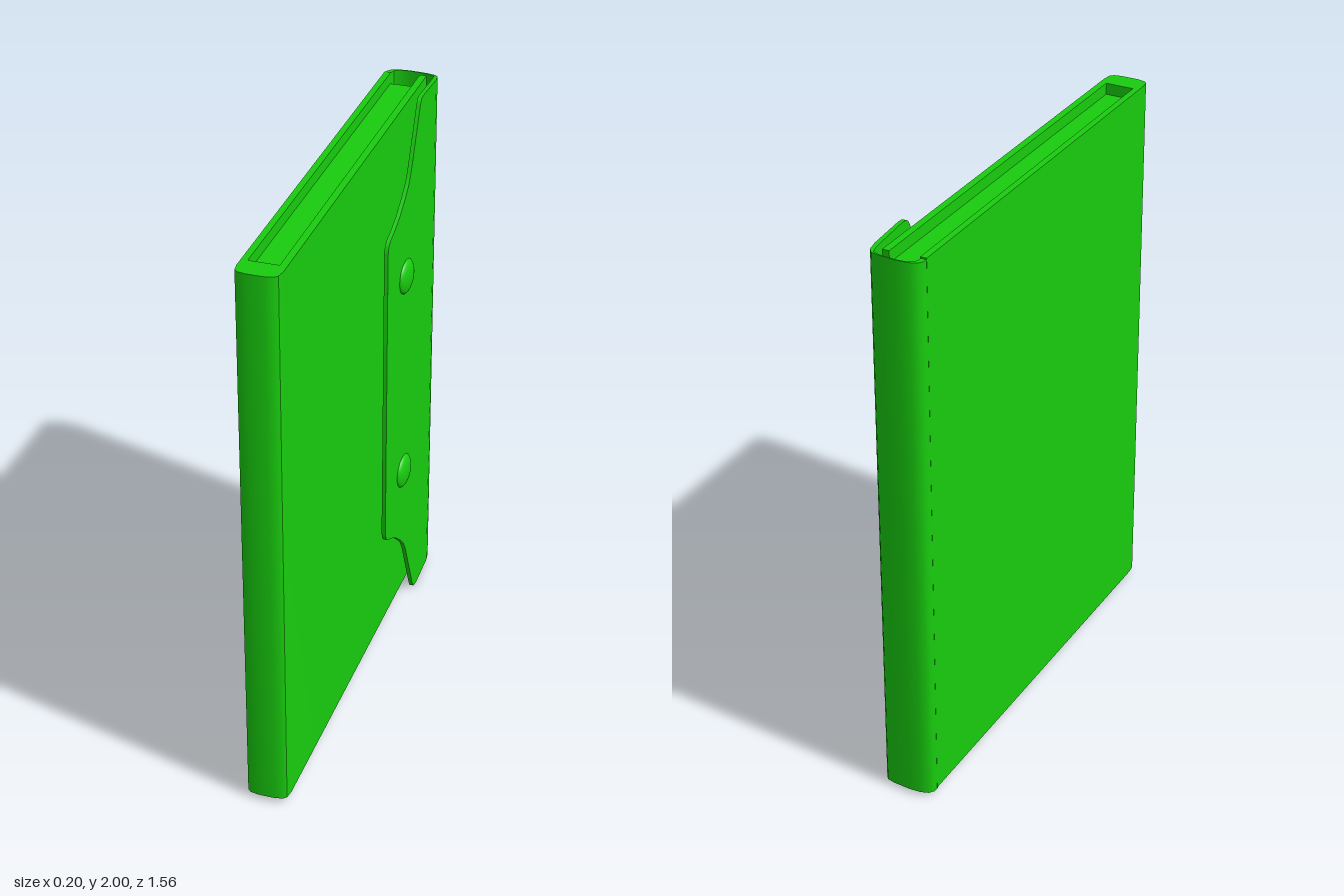
import * as THREE from 'three';
import { toCreasedNormals } from 'three/addons/utils/BufferGeometryUtils.js';

const green = new THREE.MeshStandardMaterial({ color: 0x18cc0e, side: THREE.DoubleSide });

function add(group, geometry, name) {
  const mesh = new THREE.Mesh(geometry, green);
  mesh.name = name;
  group.add(mesh);
  return mesh;
}

// Extrude an x-z outline upwards from y0 to y1
function upright(points, y0, y1) {
  const shape = new THREE.Shape(points.map(([x, z]) => new THREE.Vector2(x, -z)));
  const g = new THREE.ExtrudeGeometry(shape, { depth: y1 - y0, bevelEnabled: false });
  g.rotateX(-Math.PI / 2).translate(0, y0, 0);
  return toCreasedNormals(g, 0.6);
}

// Sweep a rectangular section through stations [outerX, outerZ, innerX, innerZ, top]
function sheet(stations) {
  const rings = stations.map(([xo, zo, xi, zi, top]) => [
    [xo, 2 - top, zo], [xo, top, zo], [xi, top, zi], [xi, 2 - top, zi],
  ]);
  const pos = [];
  const quad = (a, b, c, d) => pos.push(...a, ...b, ...c, ...a, ...c, ...d);
  for (let i = 0; i < rings.length - 1; i++) {
    for (let k = 0; k < 4; k++) {
      const n = (k + 1) % 4;
      quad(rings[i][k], rings[i][n], rings[i + 1][n], rings[i + 1][k]);
    }
  }
  const first = rings[0], last = rings[rings.length - 1];
  quad(first[3], first[2], first[1], first[0]);
  quad(...last);
  const g = new THREE.BufferGeometry();
  g.setAttribute('position', new THREE.Float32BufferAttribute(pos, 3));
  return toCreasedNormals(g, 0.7);
}

export function createModel() {
  const model = new THREE.Group();
  model.name = 'notebook';

  // Cover: two boards joined by a thick rounded spine
  add(model, upright([
    [-0.10, -0.735], [-0.10, 0.73], [-0.096, 0.76], [-0.085, 0.771], [-0.055, 0.777],
    [0, 0.777], [0.03, 0.771], [0.041, 0.76], [0.046, 0.73], [0.046, -0.745],
    [0.022, -0.745], [0.022, 0.695], [-0.078, 0.695], [-0.078, -0.735],
  ], 0.02, 1.99), 'cover');

  // Page block, set in a little from the cover's ends
  const pages = add(model, new THREE.BoxGeometry(0.1, 1.89, 1.425), 'pages');
  pages.position.set(-0.028, 1.005, -0.0175);

  // Flap: wraps the open edge, then tapers over the cover
  const wrap = [
    [-0.10, -0.73, -0.08, -0.73, 1.985], [-0.098, -0.752, -0.079, -0.745, 1.985],
    [-0.086, -0.768, -0.075, -0.762, 1.985], [-0.06, -0.777, -0.058, -0.772, 1.985],
    [-0.02, -0.78, -0.02, -0.776, 1.985], [0.04, -0.776, 0.04, -0.771, 1.985],
    [0.07, -0.769, 0.065, -0.762, 1.985], [0.082, -0.755, 0.069, -0.75, 1.987],
    [0.087, -0.72, 0.071, -0.72, 1.99],
  ];
  const outline = [
    [-0.58, 2], [-0.56, 1.999], [-0.548, 1.993], [-0.538, 1.975], [-0.455, 1.765],
    [-0.435, 1.73], [-0.40, 1.693], [-0.35, 1.65], [-0.30, 1.62], [-0.26, 1.602],
    [-0.245, 1.587], [-0.238, 1.56],
  ];
  const tongue = outline.map(([z, top]) => {
    const x = 0.088 - 0.018 * (z + 0.58) / 0.342;
    return [x, z, x - 0.014, z, top];
  });
  add(model, sheet([...wrap, ...tongue]), 'flap');

  // Domed snap buttons
  for (const [y, name] of [[1.39, 'upperButton'], [0.60, 'lowerButton']]) {
    const dome = new THREE.SphereGeometry(0.063, 32, 12, 0, Math.PI * 2, 0, Math.PI / 2);
    dome.scale(1, 0.36, 1).rotateZ(-Math.PI / 2);
    const button = add(model, dome, name);
    button.position.set(0.078, y, -0.418);
    button.rotation.y = -0.05;
  }
  return model;
}
